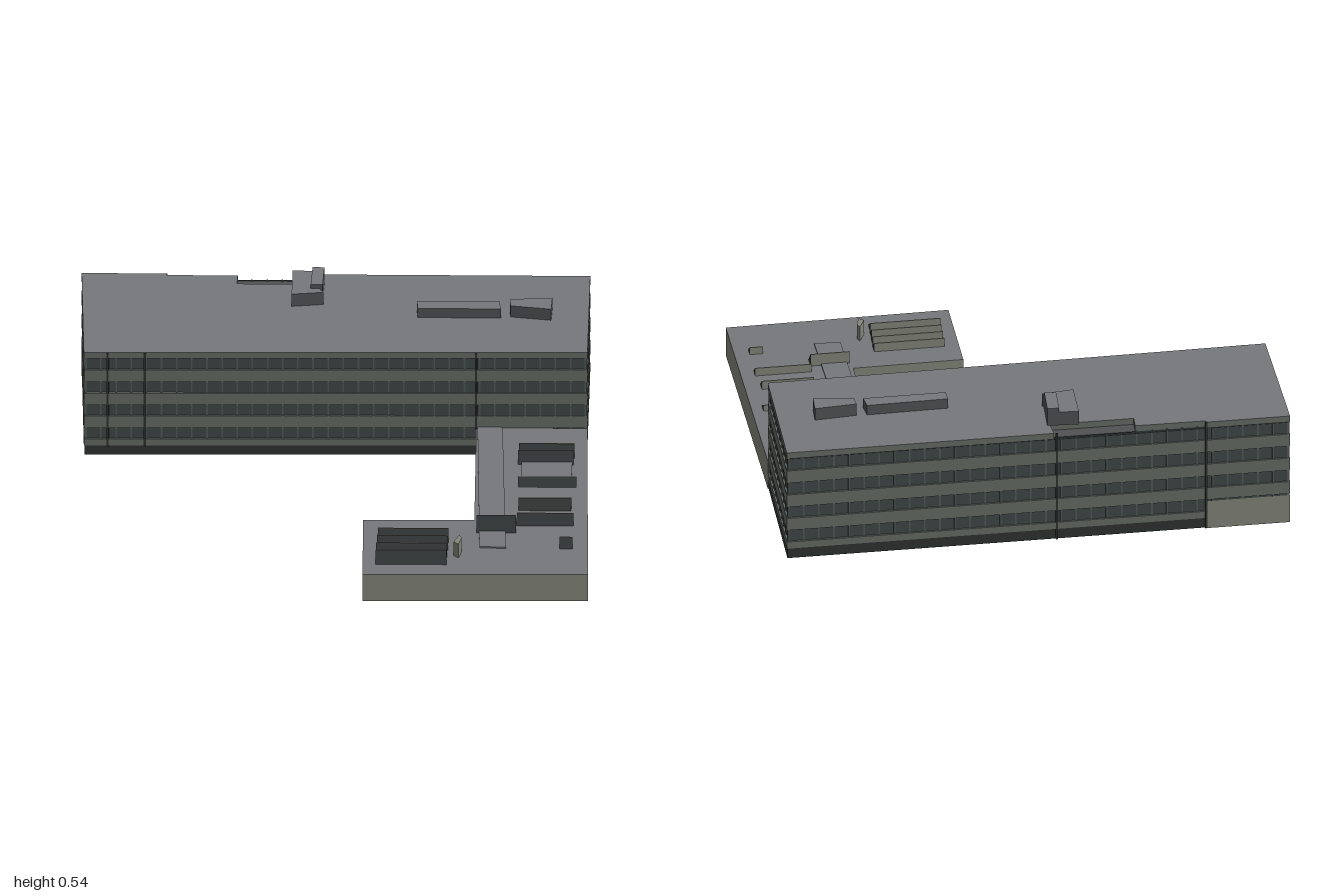
import * as THREE from 'three';
import { mergeGeometries } from 'three/addons/utils/BufferGeometryUtils.js';

const mat = (color) => new THREE.MeshStandardMaterial({ color, flatShading: true, side: THREE.DoubleSide });
const roofMat = mat(0x77787c), wallMat = mat(0x83867a), spandrelMat = mat(0x656c66);
const glassMat = mat(0x3e4847), frameMat = mat(0x525a56), darkMat = mat(0x303333), plantMat = mat(0x505254);

// Outlines are [x, z] corners, running anticlockwise as seen from above
const shapeOf = (pts) => new THREE.Shape(pts.map(([x, z]) => new THREE.Vector2(x, -z)));

function prism(pts, y0, y1, hole) {
  const s = shapeOf(pts);
  if (hole) s.holes.push(shapeOf(hole));
  const g = new THREE.ExtrudeGeometry(s, { depth: y1 - y0, bevelEnabled: false });
  return g.rotateX(-Math.PI / 2).translate(0, y0, 0);
}

function flat(pts, y) {
  return new THREE.ShapeGeometry(shapeOf(pts)).rotateX(-Math.PI / 2).translate(0, y, 0);
}

function walls(pts, y0, y1) {
  const v = [];
  pts.forEach(([ax, az], i) => {
    const [bx, bz] = pts[(i + 1) % pts.length];
    v.push(ax, y0, az, bx, y0, bz, bx, y1, bz, ax, y0, az, bx, y1, bz, ax, y1, az);
  });
  const g = new THREE.BufferGeometry();
  g.setAttribute('position', new THREE.Float32BufferAttribute(v, 3));
  g.computeVertexNormals();
  return g;
}

export function createModel() {
  const model = new THREE.Group();
  const add = (name, geo, material, parent = model) => {
    const m = new THREE.Mesh(geo, material);
    m.name = name;
    parent.add(m);
    return m;
  };
  const group = (name) => {
    const g = new THREE.Group();
    g.name = name;
    model.add(g);
    return g;
  };

  // Main block: recessed glazing behind spandrel rings, open underneath
  const main = group('mainBlock');
  const outer = [[-0.96, -0.16], [0.94, -0.27], [0.92, -0.8], [-1, -0.71]];
  const inset = (d) => outer.map(([x, z]) => [
    -0.025 + (x + 0.025) * (1 - d / 0.95), -0.485 + (z + 0.485) * (1 - d / 0.27)]);
  const core = inset(0.007);
  add('glazing', walls(core, 0.04, 0.44), glassMat, main);
  add('plinth', walls(inset(0.003), 0, 0.045), darkMat, main);
  for (const [y0, y1] of [[0.043, 0.072], [0.123, 0.175], [0.225, 0.278], [0.33, 0.383]]) {
    add('spandrel', prism(outer, y0, y1, core), spandrelMat, main);
  }

  // Top band and roof, stepped back along part of the rear edge
  const backZ = (x) => -0.71 - 0.0469 * (x + 1);
  const frontZ = (x) => -0.16 - 0.0579 * (x + 0.96);
  const notched = [...outer.slice(0, 3),
    [-0.1, backZ(-0.1)], [-0.09, -0.685], [-0.41, -0.67], [-0.41, backZ(-0.41) + 0.012],
    [-0.68, backZ(-0.68) + 0.01], [-0.68, backZ(-0.68)], outer[3]];
  add('mainRoof', prism(notched, 0.436, 0.462), [roofMat, spandrelMat], main);
  add('rearRoofStep', flat(outer, 0.435), plantMat, main);

  // Mullions between the windows on all four sides
  const bars = [];
  core.forEach(([ax, az], i) => {
    const [bx, bz] = core[(i + 1) % 4];
    const len = Math.hypot(bx - ax, bz - az), n = Math.round(len / 0.058);
    for (let k = 0; k <= n; k++) {
      const t = k / n;
      bars.push(new THREE.BoxGeometry(0.006, 0.39, 0.008).rotateY(-Math.atan2(bz - az, bx - ax))
        .translate(ax + (bx - ax) * t, 0.245, az + (bz - az) * t));
    }
  });
  add('mullions', mergeGeometries(bars), frameMat, main);

  // Dark vertical joints, and the plain panel at the rear corner
  for (const [x, z, y0] of [[0.52, frontZ(0.52), 0.12], [-0.73, frontZ(-0.73), 0.04],
    [-0.87, frontZ(-0.87), 0.04], [-0.11, backZ(-0.11), 0], [-0.68, backZ(-0.68), 0]]) {
    add('facadeJoint', new THREE.BoxGeometry(0.008, 0.46 - y0, 0.008).translate(x, (0.46 + y0) / 2, z), darkMat, main);
  }
  add('rearPanel', walls([[-1, -0.708], [-0.68, backZ(-0.68) + 0.002],
    [-0.68, backZ(-0.68) - 0.003], [-1, -0.713]], 0, 0.115), wallMat, main);

  // Rooftop plant
  const plant = group('rooftopPlant');
  const units = [
    [[[0.285, -0.475], [0.6, -0.49], [0.59, -0.545], [0.28, -0.525]], 0.503],
    [[[0.635, -0.5], [0.79, -0.485], [0.79, -0.565], [0.63, -0.545]], 0.512],
    [[[-0.195, -0.525], [-0.075, -0.545], [-0.12, -0.61], [-0.085, -0.69], [-0.2, -0.69]], 0.517],
    [[[-0.125, -0.57], [-0.08, -0.57], [-0.08, -0.69], [-0.125, -0.69]], 0.535]];
  for (const [pts, top] of units) add('plantRoom', prism(pts, 0.46, top), [roofMat, plantMat], plant);

  // Low wing: hooked plan, open underneath
  const wing = group('lowWing');
  const wingPts = [[0.15, 0.79], [1, 0.74], [0.94, -0.27], [0.52, -0.25], [0.55, 0.39], [0.13, 0.415]];
  add('wingWalls', walls(wingPts, 0, 0.12), wallMat, wing);
  add('wingRoof', flat(wingPts, 0.12), roofMat, wing);
  add('raisedRoofStrip', prism([[0.57, 0.58], [0.67, 0.58], [0.62, -0.25], [0.525, -0.25]].map(
    ([x, z]) => [x + (z > 0 ? 0.01 : 0), z]), 0.119, 0.126), roofMat, wing);
  add('raisedRoofPanel', prism([[0.71, 0.095], [0.9, 0.09], [0.895, -0.1], [0.7, -0.1]], 0.119, 0.127), roofMat, wing);

  // Sawtooth skylights: slope to the front, upright at the back
  const skylight = (x0, x1, zb, zf, h) => {
    const g = new THREE.Group();
    g.name = 'skylight';
    const tri = new THREE.Shape([[0, 0], [zf - zb, 0], [0, h]].map(([a, b]) => new THREE.Vector2(a, b)));
    const geo = new THREE.ExtrudeGeometry(tri, { depth: x1 - x0, bevelEnabled: false })
      .rotateY(-Math.PI / 2).translate((x1 - x0) / 2, 0, 0);
    add('skylightGlass', geo, darkMat, g);
    add('skylightBack', new THREE.BoxGeometry(x1 - x0, h, 0.004).translate(0, h / 2, -0.002), wallMat, g);
    g.position.set((x0 + x1) / 2, 0.12, zb);
    g.rotation.y = 0.05;
    wing.add(g);
  };
  skylight(0.69, 0.9, -0.1, -0.055, 0.036);
  skylight(0.69, 0.9, -0.052, -0.01, 0.036);
  skylight(0.7, 0.92, 0.113, 0.15, 0.025);
  skylight(0.71, 0.91, 0.275, 0.31, 0.035);
  skylight(0.71, 0.925, 0.378, 0.415, 0.033);
  skylight(0.56, 0.71, 0.43, 0.475, 0.05);
  skylight(0.88, 0.93, 0.535, 0.57, 0.03);
  for (let i = 0; i < 4; i++) skylight(0.192, 0.46, 0.516 + i * 0.05, 0.562 + i * 0.05, 0.036);

  // Small vent on the wing roof
  add('vent', prism([[0.485, 0.64], [0.505, 0.655], [0.515, 0.61], [0.505, 0.59]], 0.12, 0.182), wallMat, wing);

  return model;
}
